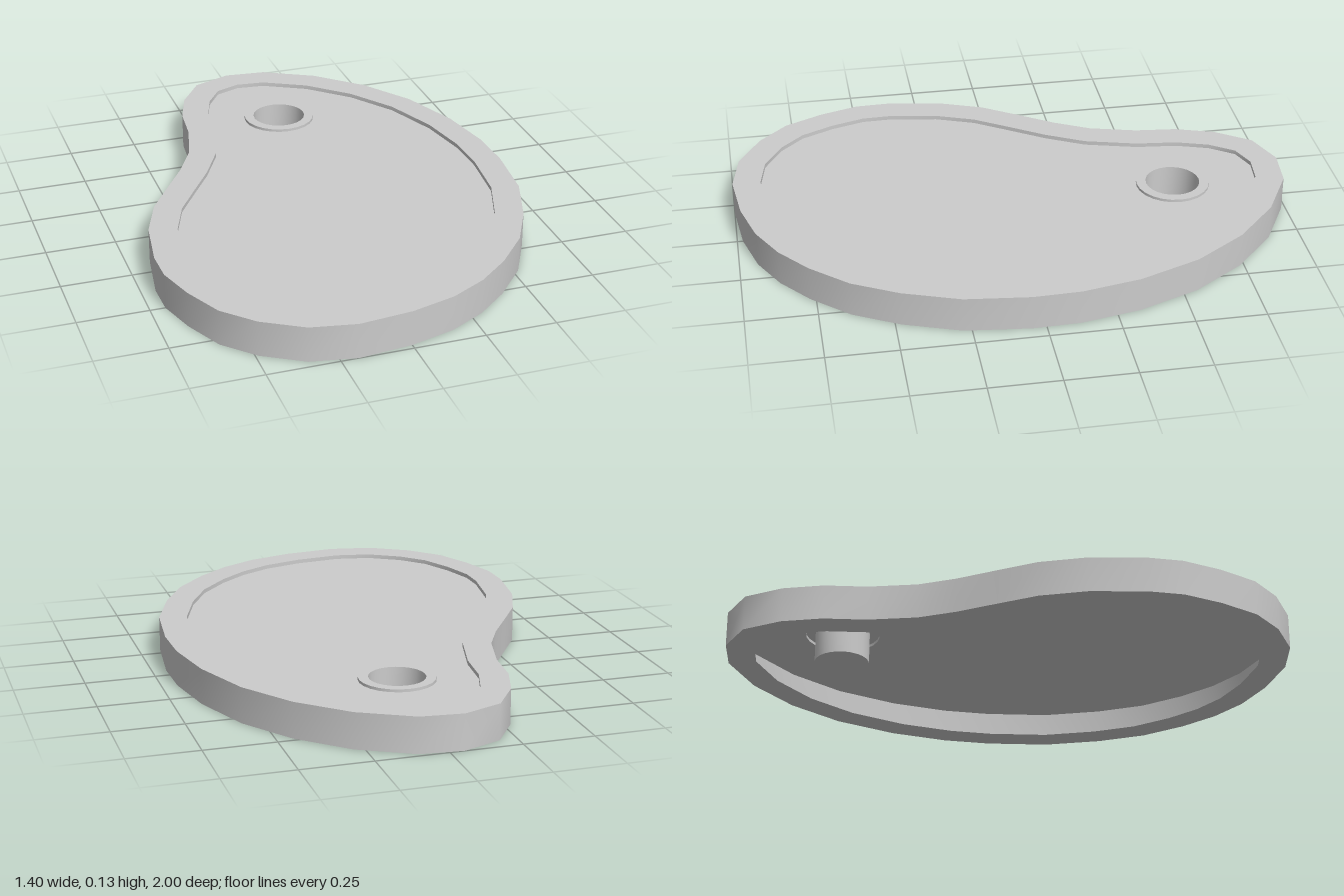
import * as THREE from 'three';
import { toCreasedNormals } from 'three/addons/utils/BufferGeometryUtils.js';

const HEIGHT = 0.127, FLOOR = 0.112, RIM_WIDTH = 0.1, CREASE = 0.6;

// Kidney-shaped outline as [x, z], clockwise seen from above
const OUTLINE = [
  [-0.05, -1], [0.1, -0.985], [0.285, -0.885], [0.445, -0.735], [0.57, -0.55], [0.655, -0.33],
  [0.695, -0.12], [0.7, 0.05], [0.675, 0.28], [0.605, 0.48], [0.52, 0.64], [0.405, 0.77],
  [0.29, 0.865], [0.16, 0.935], [0, 0.98], [-0.19, 1], [-0.35, 0.97], [-0.49, 0.885],
  [-0.59, 0.78], [-0.655, 0.64], [-0.697, 0.5], [-0.7, 0.38], [-0.67, 0.18], [-0.61, 0.02],
  [-0.53, -0.105], [-0.445, -0.235], [-0.38, -0.36], [-0.335, -0.53], [-0.32, -0.68],
  [-0.275, -0.82], [-0.19, -0.945],
].map(([x, z]) => new THREE.Vector2(x, -z));

// Moves every corner of a clockwise loop inward by a constant distance
function inset(points, distance) {
  const n = points.length;
  return points.map((p, i) => {
    const a = p.clone().sub(points[(i + n - 1) % n]).normalize();
    const b = points[(i + 1) % n].clone().sub(p).normalize();
    const normal = new THREE.Vector2(a.y + b.y, -a.x - b.x).normalize();
    const miter = normal.dot(new THREE.Vector2(a.y, -a.x));
    return p.clone().addScaledVector(normal, distance / miter);
  });
}

// Skin through a series of closed loops, each lying flat at its own height
function skin(rows) {
  const n = rows[0].loop.length;
  const positions = rows.flatMap(({ loop, y }) => loop.flatMap((p) => [p.x, y, -p.y]));
  const index = [];
  for (let j = 0; j < rows.length - 1; j++) {
    for (let i = 0; i < n; i++) {
      const a = j * n + i, b = j * n + (i + 1) % n;
      index.push(a, a + n, b, b, a + n, b + n);
    }
  }
  const geometry = new THREE.BufferGeometry();
  geometry.setAttribute('position', new THREE.Float32BufferAttribute(positions, 3));
  geometry.setIndex(index);
  return toCreasedNormals(geometry, CREASE);
}

export function createModel() {
  const group = new THREE.Group();
  const material = new THREE.MeshStandardMaterial({ color: 0xcccccc, side: THREE.DoubleSide });
  const add = (name, geometry) => {
    const mesh = new THREE.Mesh(geometry, material);
    mesh.name = name;
    group.add(mesh);
    return mesh;
  };
  const inner = inset(OUTLINE, RIM_WIDTH);
  const cup = { x: 0.041, z: -0.583, radius: 0.098, lipRadius: 0.133, lipTop: 0.122 };

  // Hollow rim: bottom ring, outer wall, top ring and the short step down to the floor
  add('rim', skin([
    { loop: inner, y: 0 },
    { loop: OUTLINE, y: 0 },
    { loop: OUTLINE, y: HEIGHT },
    { loop: inner, y: HEIGHT },
    { loop: inner, y: FLOOR },
  ]));

  // Thin recessed floor, pierced for the cup
  const floorShape = new THREE.Shape(inner);
  floorShape.holes.push(new THREE.Path().absarc(cup.x, -cup.z, cup.lipRadius, 0, Math.PI * 2));
  const floor = new THREE.ShapeGeometry(floorShape, 12);
  floor.rotateX(-Math.PI / 2).translate(0, FLOOR, 0);
  add('trayFloor', floor);

  // Thin-walled cup hanging from a flat lip raised just above the floor
  const profile = [
    [0, 0.004], [cup.radius, 0.004], [cup.radius, cup.lipTop],
    [cup.lipRadius, cup.lipTop], [cup.lipRadius, FLOOR],
  ].map(([r, y]) => new THREE.Vector2(r, y));
  const cupMesh = add('cup', toCreasedNormals(new THREE.LatheGeometry(profile, 24), CREASE));
  cupMesh.position.set(cup.x, 0, cup.z);

  return group;
}
